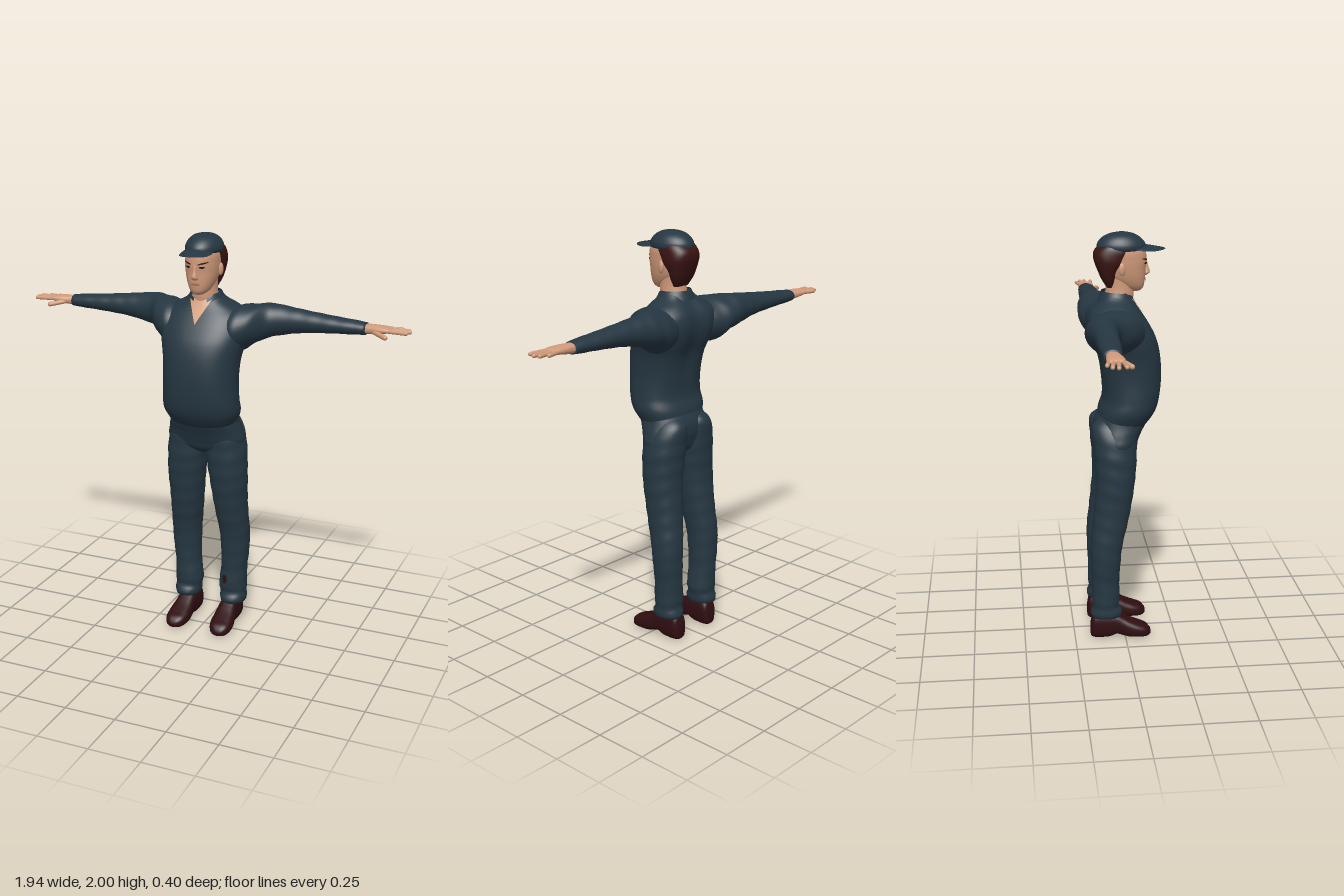
import * as THREE from 'three';

const paint = (name, color) => {
  const m = new THREE.MeshStandardMaterial({ color, side: THREE.DoubleSide });
  m.name = name;
  return m;
};

// Smooth interpolation of section rows [t, centre, radius, high, low]
function at(keys, t) {
  let i = 0;
  while (i < keys.length - 2 && t > keys[i + 1][0]) i++;
  const slope = (k, c) => {
    const a = keys[Math.max(k - 1, 0)], b = keys[Math.min(k + 1, keys.length - 1)];
    return (b[c] - a[c]) / (b[0] - a[0]);
  };
  const h = keys[i + 1][0] - keys[i][0];
  const f = THREE.MathUtils.clamp((t - keys[i][0]) / h, 0, 1), g = 1 - f;
  return [1, 2, 3, 4].map((c) =>
    keys[i][c] * (1 + 2 * f) * g * g + keys[i + 1][c] * (3 - 2 * f) * f * f
    + slope(i, c) * h * f * g * g - slope(i + 1, c) * h * f * f * g);
}

// Closed loft along an axis through rounded cross-sections
function loft(axis, keys, { n = 2, rows = 44, sides = 36, fold = 0, bend } = {}) {
  const pos = [], index = [], t0 = keys[0][0], t1 = keys[keys.length - 1][0];
  const round = (c) => Math.sign(c) * Math.abs(c) ** (2 / n);
  const add = (p, q, t) => {
    const v = axis === 'y' ? [p, t, q] : axis === 'x' ? [t, p, q] : [p, q, t];
    if (bend) bend(v);
    pos.push(...v);
  };
  const tri = (a, b, c) => (axis === 'y' ? index.push(a, b, c) : index.push(a, c, b));
  for (let i = 0; i <= rows; i++) {
    const t = t0 + (t1 - t0) * i / rows, [c, r, hi, lo] = at(keys, t);
    for (let j = 0; j < sides; j++) {
      const a = j / sides * Math.PI * 2, k = 1 + fold * Math.sin(t * 75 + 2 * Math.sin(a));
      add(c + r * k * round(Math.cos(a)), (hi + lo) / 2 + (hi - lo) / 2 * k * round(Math.sin(a)), t);
    }
  }
  for (let i = 0; i < rows; i++) for (let j = 0; j < sides; j++) {
    const a = i * sides + j, b = i * sides + (j + 1) % sides;
    tri(a, a + sides, b);
    tri(b, a + sides, b + sides);
  }
  [[t0, 0], [t1, rows * sides]].forEach(([t, base], end) => {
    const [c, , hi, lo] = at(keys, t), mid = pos.length / 3;
    add(c, (hi + lo) / 2, t);
    for (let j = 0; j < sides; j++) {
      const a = base + j, b = base + (j + 1) % sides;
      if (end) tri(mid, b, a); else tri(mid, a, b);
    }
  });
  const geo = new THREE.BufferGeometry();
  geo.setAttribute('position', new THREE.Float32BufferAttribute(pos, 3));
  geo.setIndex(index);
  geo.computeVertexNormals();
  return geo;
}

// Move every vertex of a geometry by a rule
function reshape(geo, rule) {
  const p = geo.attributes.position;
  for (let i = 0; i < p.count; i++) p.setXYZ(i, ...rule(p.getX(i), p.getY(i), p.getZ(i)));
  geo.computeVertexNormals();
  return geo;
}

// Thin plate lying on the front of an upright loft
function patch(keys, n, outline, lift = 0.003) {
  return reshape(new THREE.PlaneGeometry(2, 2, 12, 12), (u, v) => {
    const [x, y] = outline(u, v), [c, r, hi, lo] = at(keys, y);
    const e = Math.min(1, Math.abs((x - c) / r));
    return [x, y, (hi + lo) / 2 + (hi - lo) / 2 * (1 - e ** n) ** (1 / n) + lift];
  });
}

function mirrored(geo) {
  const g = geo.clone().scale(-1, 1, 1), a = g.index.array;
  for (let i = 0; i < a.length; i += 3) [a[i + 1], a[i + 2]] = [a[i + 2], a[i + 1]];
  return g;
}

function finger(a, b, r) {
  const from = new THREE.Vector3(...a), to = new THREE.Vector3(...b), d = to.clone().sub(from);
  const geo = new THREE.CapsuleGeometry(r, d.length(), 5, 10);
  geo.applyQuaternion(new THREE.Quaternion().setFromUnitVectors(new THREE.Vector3(0, 1, 0), d.clone().normalize()));
  return geo.translate(...from.add(to).multiplyScalar(0.5).toArray());
}

export function createModel() {
  const model = new THREE.Group();
  model.name = 'worker';
  const cloth = paint('navy cloth', 0x263742), skin = paint('skin', 0xd09a7a);
  const hair = paint('dark hair', 0x391413), leather = paint('shoe leather', 0x300e11);
  const lip = paint('lips', 0xb0735c), dark = paint('eye dark', 0x1c1413);
  const part = (name, geo, mat) => {
    const m = new THREE.Mesh(geo, mat);
    m.name = name;
    model.add(m);
  };
  const pair = (name, geo, mat) => {
    part('left' + name, geo, mat);
    part('right' + name, mirrored(geo), mat);
  };

  // Shirt with a shallow groove down the spine
  const shirt = [
    [1.08, 0, 0.15, 0.10, -0.11], [1.11, 0, 0.168, 0.127, -0.122], [1.16, 0, 0.187, 0.157, -0.118],
    [1.22, 0, 0.186, 0.173, -0.10], [1.32, 0, 0.181, 0.182, -0.108], [1.42, 0, 0.187, 0.176, -0.13],
    [1.50, 0, 0.205, 0.157, -0.165], [1.56, 0, 0.213, 0.128, -0.18], [1.62, 0, 0.20, 0.09, -0.175],
    [1.66, 0, 0.155, 0.062, -0.15], [1.69, 0, 0.10, 0.045, -0.12], [1.72, 0, 0.07, 0.03, -0.10]];
  part('shirt', loft('y', shirt, {
    n: 2.3, rows: 64, sides: 56,
    bend: (v) => {
      const high = THREE.MathUtils.smoothstep(v[1], 1.2, 1.5);
      if (v[2] < -0.04) v[2] += 0.022 * high * Math.exp(-((v[0] / 0.05) ** 2));
    },
  }), cloth);
  part('openNeck', patch(shirt, 2.3, (u, v) => [u * 0.031 * (1 + v), 1.65 + v * 0.06], 0.004), skin);

  // Collar, open at the front with hanging points
  part('collar', reshape(new THREE.PlaneGeometry(2, 2, 48, 4), (u, v) => {
    const a = Math.PI * (1 + 0.86 * u), f = u ** 4, d = (1 - v) / 2;
    return [(0.074 + 0.024 * d) * Math.sin(a), 1.727 - 0.025 * f - d * (0.045 + 0.03 * f),
      -0.026 + (0.076 + 0.018 * d + 0.012 * f * d) * Math.cos(a)];
  }), cloth);

  // Sleeves
  pair('Sleeve', loft('x', [
    [0.10, 1.56, 0.09, 0.07, -0.15], [0.18, 1.56, 0.108, 0.085, -0.187], [0.24, 1.58, 0.091, 0.045, -0.197],
    [0.30, 1.592, 0.08, -0.033, -0.193], [0.38, 1.597, 0.066, -0.055, -0.18], [0.46, 1.599, 0.054, -0.062, -0.172],
    [0.62, 1.597, 0.039, -0.068, -0.166], [0.72, 1.595, 0.032, -0.075, -0.16], [0.757, 1.594, 0.028, -0.08, -0.157],
  ], { fold: 0.012, rows: 60 }), cloth);

  // Hands
  pair('Palm', loft('x', [
    [0.74, 1.594, 0.022, -0.09, -0.147], [0.78, 1.595, 0.022, -0.084, -0.15], [0.82, 1.597, 0.019, -0.075, -0.153],
    [0.86, 1.599, 0.014, -0.075, -0.153], [0.88, 1.599, 0.006, -0.082, -0.147]], { n: 2.4, rows: 16 }), skin);
  [[-0.144, 0.915, -0.157], [-0.125, 0.95, -0.138], [-0.105, 0.96, -0.113], [-0.086, 0.95, -0.08]].forEach(
    ([z, x, tip], i) => pair('Finger' + (i + 1), finger([0.855, 1.598, z], [x, 1.597, tip], 0.0095), skin));
  pair('Thumb', finger([0.80, 1.588, -0.09], [0.862, 1.576, -0.05], 0.0115), skin);

  // Trousers
  part('trouserSeat', loft('y', [
    [0.93, 0, 0.09, 0.01, -0.08], [0.96, 0, 0.16, 0.048, -0.115], [1.0, 0, 0.192, 0.066, -0.13],
    [1.05, 0, 0.184, 0.088, -0.142], [1.10, 0, 0.17, 0.112, -0.138], [1.16, 0, 0.16, 0.11, -0.11]],
  { n: 2.3, rows: 24 }), cloth);
  const trouserLeg = [
    [0.12, 0.124, 0.062, -0.02, -0.17], [0.145, 0.124, 0.067, -0.017, -0.172], [0.17, 0.122, 0.065, -0.035, -0.163],
    [0.2, 0.12, 0.07, -0.028, -0.166], [0.3, 0.125, 0.065, -0.03, -0.166], [0.4, 0.13, 0.07, -0.025, -0.17],
    [0.5, 0.129, 0.074, -0.014, -0.17], [0.6, 0.121, 0.079, 0.01, -0.16], [0.7, 0.115, 0.085, 0.03, -0.15],
    [0.8, 0.111, 0.093, 0.045, -0.142], [0.9, 0.103, 0.099, 0.055, -0.145], [0.97, 0.098, 0.1, 0.057, -0.15],
    [1.05, 0.09, 0.09, 0.06, -0.156], [1.1, 0.082, 0.07, 0.05, -0.15], [1.14, 0.075, 0.03, 0, -0.09]];
  pair('TrouserLeg', loft('y', trouserLeg, { n: 2.15, rows: 80, fold: 0.01 }), cloth);
  part('trouserPatch', patch(trouserLeg, 2.15, (u, v) =>
    [0.1 + 0.013 * u * Math.sqrt(1 - v * v * 0.8), 0.25 + 0.022 * v], 0.005), leather);

  // Shoes, with an arch between heel and sole
  pair('Shoe', loft('z', [
    [-0.172, 0.112, 0.025, 0.075, 0.01], [-0.16, 0.112, 0.04, 0.125, 0], [-0.08, 0.113, 0.046, 0.135, 0],
    [-0.045, 0.114, 0.047, 0.13, 0.014], [-0.015, 0.115, 0.05, 0.112, 0.008], [0.02, 0.117, 0.055, 0.092, 0],
    [0.07, 0.119, 0.055, 0.07, 0], [0.105, 0.121, 0.043, 0.056, 0], [0.125, 0.122, 0.02, 0.035, 0.008],
  ], { n: 2.8, rows: 40 }), leather);

  // Neck, head and face
  part('neck', loft('y', [
    [1.6, 0, 0.06, 0.03, -0.09], [1.69, 0, 0.062, 0.049, -0.088], [1.74, 0, 0.058, 0.052, -0.08],
    [1.8, 0, 0.058, 0.05, -0.08]], { rows: 16 }), skin);
  const head = [
    [1.725, 0, 0.02, 0.08, 0.03], [1.735, 0, 0.036, 0.093, 0], [1.755, 0, 0.052, 0.1, -0.03],
    [1.79, 0, 0.067, 0.105, -0.07], [1.83, 0, 0.076, 0.107, -0.09], [1.87, 0, 0.08, 0.111, -0.105],
    [1.92, 0, 0.079, 0.104, -0.108], [1.96, 0, 0.06, 0.07, -0.09], [1.98, 0, 0.03, 0.03, -0.05]];
  part('head', loft('y', head, { n: 2.2 }), skin);
  part('nose', loft('y', [
    [1.797, 0, 0.008, 0.112, 0.09], [1.806, 0, 0.017, 0.125, 0.09], [1.815, 0, 0.014, 0.128, 0.09],
    [1.84, 0, 0.009, 0.12, 0.09], [1.868, 0, 0.008, 0.113, 0.09]], { rows: 14, sides: 16 }), skin);
  pair('Ear', new THREE.SphereGeometry(1, 16, 12).scale(0.01, 0.03, 0.017).rotateY(-0.3)
    .translate(0.08, 1.836, -0.01), skin);
  pair('Eye', patch(head, 2.2, (u, v) => [0.034 + 0.013 * u, 1.858 + 0.005 * v * (1 - 0.8 * u * u)]), dark);
  pair('Eyebrow', patch(head, 2.2, (u, v) =>
    [0.037 + 0.021 * u, 1.876 + 0.005 * u + 0.004 * v * (1 - 0.6 * u * u)]), hair);
  part('mouth', patch(head, 2.2, (u, v) => [0.024 * u, 1.777 + 0.006 * v * (1 - 0.85 * u * u)]), lip);

  // Hair around the back and sides of the head
  part('hair', loft('y', [
    [1.745, 0, 0.045, -0.045, -0.078], [1.78, 0, 0.063, -0.035, -0.1], [1.82, 0, 0.077, -0.022, -0.117],
    [1.85, 0, 0.084, 0.005, -0.13], [1.88, 0, 0.087, 0.03, -0.137], [1.912, 0, 0.086, 0.055, -0.134],
    [1.935, 0, 0.078, 0.04, -0.115], [1.955, 0, 0.06, 0.03, -0.09]], { n: 2.5, fold: 0.01 }), hair);

  // Cap and its bent brim
  part('capCrown', loft('y', [
    [1.918, 0, 0.082, 0.106, -0.118], [1.93, 0, 0.086, 0.109, -0.122], [1.95, 0, 0.083, 0.103, -0.118],
    [1.975, 0, 0.068, 0.08, -0.096], [1.992, 0, 0.044, 0.048, -0.062], [2.0, 0, 0.012, 0.012, -0.022],
  ], { rows: 30 }), cloth);
  part('capBrim', reshape(new THREE.SphereGeometry(1, 36, 20), (x, y, z) => [
    0.074 * x, 1.943 + 0.005 * y - 0.022 * (0.03 + 0.12 * z) / 0.15 - 3.5 * (0.074 * x) ** 2, 0.08 + 0.12 * z]), cloth);

  return model;
}
